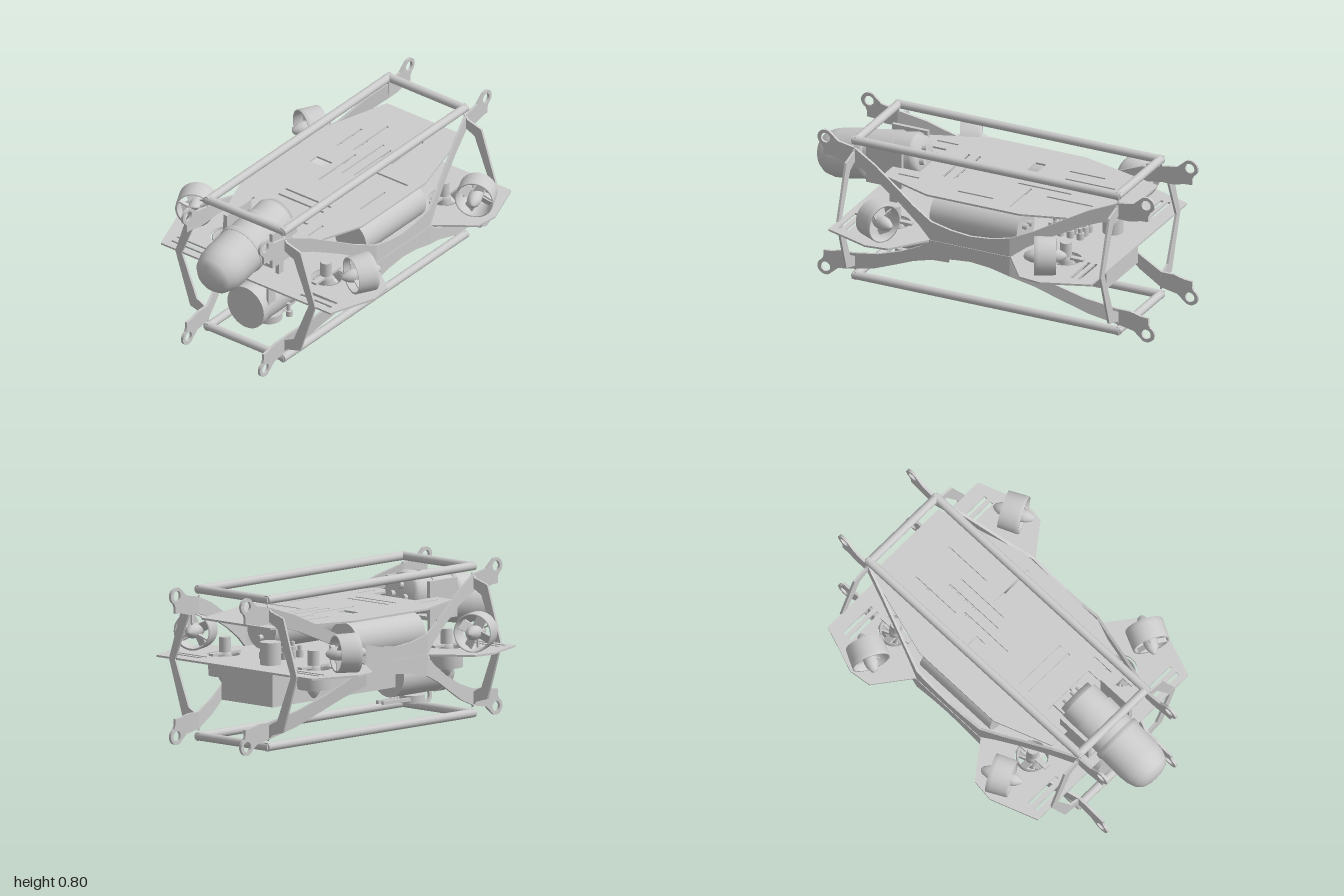
import * as THREE from 'three';

const mat = new THREE.MeshStandardMaterial({ color: 0xcccccc, side: THREE.DoubleSide });
const CX = 0.05, CY = 0.4; // middle of the frame
const signs = [-1, 1];
const V2 = (p) => new THREE.Vector2(p[0], p[1]);

function add(parent, name, geo, x = 0, y = 0, z = 0) {
  const m = new THREE.Mesh(geo, mat);
  m.name = name;
  m.position.set(x, y, z);
  parent.add(m);
  return m;
}
const box = (p, n, w, h, d, x, y, z) => add(p, n, new THREE.BoxGeometry(w, h, d), x, y, z);
const cyl = (p, n, r, h, x, y, z, seg = 20) => add(p, n, new THREE.CylinderGeometry(r, r, h, seg), x, y, z);
const lathe = (p, n, pts, seg = 28) => add(p, n, new THREE.LatheGeometry(pts.map(V2), seg));

// Extruded outline with optional holes
function slab(pts, depth, holes = []) {
  const s = new THREE.Shape(pts.map(V2));
  for (const h of holes) s.holes.push(h);
  return new THREE.ExtrudeGeometry(s, { depth, bevelEnabled: false, curveSegments: 20 });
}
const slot = (x, z, w, d) => new THREE.Path([[x - w / 2, z - d / 2], [x + w / 2, z - d / 2], [x + w / 2, z + d / 2], [x - w / 2, z + d / 2]].map(V2));
const round = (x, z, r) => new THREE.Path().absarc(x, z, r, 0, Math.PI * 2, true);

// Horizontal deck from a half outline mirrored in z
function deck(parent, name, half, y, holes) {
  const other = half.map(([x, z]) => [x, -z]).reverse();
  add(parent, name, slab([...half, ...other], 0.01, holes).rotateX(Math.PI / 2), 0, y, 0);
}

// Bent cross-shaped side plate, made of a flat waist, sloping arms and eyelet ends
function sidePlate(sz) {
  const g = new THREE.Group();
  g.name = 'sidePlate';
  const T = 0.014;
  const piece = (name, pts, holes) => {
    const geo = slab(pts, T, holes), p = geo.attributes.position;
    for (let i = 0; i < p.count; i++) {
      const k = THREE.MathUtils.clamp((Math.abs(p.getX(i)) - 0.22) / 0.52, 0, 1);
      p.setZ(i, p.getZ(i) - T / 2 + sz * (0.42 - 0.175 * k));
    }
    geo.computeVertexNormals();
    add(g, name, geo);
  };
  piece('waist', [[-0.22, -0.105], [-0.11, -0.08], [0, -0.07], [0.11, -0.08], [0.22, -0.105],
    [0.22, 0.105], [0.11, 0.08], [0, 0.07], [-0.11, 0.08], [-0.22, 0.105]]);
  const arm = [[0.22, 0], [0.3, 0.06], [0.42, 0.128], [0.58, 0.2], [0.74, 0.25],
    [0.74, 0.335], [0.6, 0.285], [0.46, 0.215], [0.34, 0.153], [0.22, 0.105]];
  const end = [[0.74, 0.25], [0.81, 0.25], [0.87, 0.265], [0.912, 0.268], [0.912, 0.3]];
  for (let i = 0; i <= 12; i++) {
    const a = -1.1 + i * 0.26;
    end.push([0.9 + 0.045 * Math.cos(a), 0.357 + 0.043 * Math.sin(a)]);
  }
  end.push([0.83, 0.352], [0.74, 0.335]);
  for (const su of signs) for (const sv of signs) {
    const flip = ([u, v]) => [u * su, v * sv];
    piece('arm', arm.map(flip));
    piece('eyelet', end.map(flip), [round(0.9 * su, 0.357 * sv, 0.026)]);
  }
  g.position.set(CX, CY, 0);
  return g;
}

// Ducted propeller with its axis along local y
function thruster(name, R, H) {
  const g = new THREE.Group();
  g.name = name;
  lathe(g, 'duct', [[R * 0.88, -H / 2], [R * 0.97, -H / 2], [R, H * 0.3], [R, H / 2], [R * 0.92, H / 2],
    [R * 0.86, H * 0.2], [R * 0.88, -H / 2]], 32);
  lathe(g, 'hub', [[0, -H], [0.014, -H * 0.93], [0.03, -H * 0.7], [0.036, -H * 0.45], [0.036, H * 0.45],
    [0.032, H * 0.65], [0.018, H * 0.92], [0, H]], 18);
  for (let i = 0; i < 4; i++) {
    const pivot = new THREE.Group();
    pivot.rotation.y = i * Math.PI / 2;
    const blade = box(pivot, 'blade', R * 0.58, 0.006, 0.055, R * 0.55, 0.01, 0);
    blade.rotation.x = 0.6;
    g.add(pivot);
  }
  for (let i = 0; i < 3; i++) {
    const pivot = new THREE.Group();
    pivot.rotation.y = 0.4 + i * Math.PI * 2 / 3;
    box(pivot, 'strut', R * 0.62, 0.025, 0.008, R * 0.6, -H * 0.4, 0);
    g.add(pivot);
  }
  return g;
}

export function createModel() {
  const model = new THREE.Group();
  const root = new THREE.Group();
  root.name = 'underwaterVehicle';
  model.add(root);

  // Tube frame
  for (const y of [0.025, 0.773]) {
    for (const s of signs) {
      cyl(root, 'longTube', 0.022, 1.5, CX, y, s * 0.24).rotation.z = Math.PI / 2;
      cyl(root, 'crossTube', 0.022, 0.5, CX + s * 0.735, y, 0).rotation.x = Math.PI / 2;
    }
  }
  for (const s of signs) root.add(sidePlate(s));

  // Bent upright struts at both ends
  for (const sx of signs) for (const sz of signs) {
    const strut = [[0.24, 0.345], [0.262, 0.315], [0.35, 0.29], [0.445, 0], [0.35, -0.29], [0.262, -0.315], [0.24, -0.345],
      [0.24, -0.27], [0.31, -0.235], [0.405, 0], [0.31, 0.235], [0.24, 0.27]].map(([z, y]) => [-z * sz, y]);
    add(root, 'endStrut', slab(strut, 0.012).translate(0, 0, -0.006).rotateY(Math.PI / 2), CX + sx * 0.738, CY, 0);
  }

  // Lower deck with wings, slots and openings for the lift thrusters
  const lowerHoles = [];
  for (const s of signs) {
    for (const x of [-0.43, 0.53]) lowerHoles.push(round(x, s * 0.32, 0.085));
    for (const x of [-0.645, -0.6, 0.66, 0.7]) lowerHoles.push(slot(x, s * 0.41, 0.018, 0.2));
  }
  deck(root, 'lowerDeck', [[-0.69, 0.54], [-0.44, 0.63], [-0.32, 0.615], [-0.18, 0.43], [0.28, 0.43],
    [0.42, 0.615], [0.54, 0.63], [0.785, 0.54]], 0.405, lowerHoles);

  // Upper deck, notched around the camera, with cable slots
  const upperHoles = [[-0.24, 0, 0.014, 0.29], [-0.18, 0, 0.014, 0.29], [0.13, -0.16, 0.06, 0.1], [0.22, 0.2, 0.012, 0.24],
    [0.14, -0.065, 0.3, 0.012], [0.28, -0.01, 0.34, 0.012], [0.28, 0.05, 0.3, 0.012], [0.46, -0.1, 0.28, 0.012],
    [0.4, -0.19, 0.2, 0.012], [0.46, 0.13, 0.26, 0.012], [0, 0.27, 0.2, 0.012], [-0.4, 0.22, 0.12, 0.012], [-0.4, -0.22, 0.12, 0.012]];
  deck(root, 'upperDeck', [[-0.37, 0.15], [-0.52, 0.15], [-0.52, 0.265], [-0.22, 0.375], [0.3, 0.375], [0.77, 0.24]],
    0.626, upperHoles.map((h) => slot(...h)));

  // Electronics: lower box and two sealed tubes between the decks
  box(root, 'batteryBox', 0.89, 0.19, 0.355, 0.245, 0.302, 0);
  for (const s of signs) {
    cyl(root, 'sealedTube', 0.1, 0.49, 0.045, 0.505, s * 0.285, 36).rotation.z = Math.PI / 2;
    for (const [dy, dz] of [[0.025, 0.025], [0.02, -0.03], [-0.04, 0]]) {
      cyl(root, 'cablePlug', 0.015, 0.03, 0.3, 0.505 + dy, s * 0.285 + dz, 12).rotation.z = Math.PI / 2;
    }
  }

  // Sensor can and connectors on the lower deck
  cyl(root, 'sensorCan', 0.053, 0.12, 0.6, 0.46, -0.075, 28);
  for (let i = 0; i < 4; i++) for (let j = 0; j < 3; j++) {
    const h = j === 1 ? 0.05 : 0.035;
    cyl(root, 'connector', 0.02, h, 0.33 + i * 0.055, 0.405 + h / 2, -0.02 + j * 0.05, 12);
    cyl(root, 'connectorTip', 0.012, 0.025, 0.33 + i * 0.055, 0.417 + h, -0.02 + j * 0.05, 10);
  }
  lathe(root, 'bottomSensor', [[0, -0.035], [0.03, -0.028], [0.04, -0.012], [0.06, -0.008], [0.06, 0.01]], 20).position.set(0.19, 0.2, 0);

  // Tilted camera housing with a blunt dome, held in a cradle
  const cam = new THREE.Group();
  cam.name = 'cameraHousing';
  lathe(cam, 'rearCap', [[0, -0.03], [0.095, -0.03], [0.095, 0], [0.112, 0], [0.112, 0.13]], 36);
  lathe(cam, 'body', [[0.112, 0.1], [0.122, 0.1], [0.122, 0.27]], 36);
  lathe(cam, 'collar', [[0.11, 0.26], [0.133, 0.26], [0.133, 0.29], [0.128, 0.29]], 36);
  lathe(cam, 'dome', [[0.128, 0.29], [0.128, 0.42], [0.122, 0.47], [0.105, 0.515], [0.08, 0.54], [0.04, 0.552], [0, 0.555]], 36);
  for (const [x, z] of [[0.03, 0], [-0.02, 0.05], [-0.03, -0.04]]) cyl(cam, 'rearPlug', 0.018, 0.03, x, -0.04, z, 12);
  cam.position.set(-0.45, 0.645, 0);
  cam.rotation.z = THREE.MathUtils.degToRad(101);
  root.add(cam);
  for (const s of signs) {
    box(root, 'cradleCheek', 0.2, 0.19, 0.02, -0.57, 0.615, s * 0.145);
    box(root, 'cradleLeg', 0.04, 0.12, 0.02, -0.54, 0.46, s * 0.1);
    box(root, 'cradleRail', 0.2, 0.02, 0.02, -0.37, 0.49, s * 0.06);
  }
  box(root, 'cradleBase', 0.2, 0.02, 0.31, -0.57, 0.52, 0);

  // Lower canister with hanging gripper and lamp
  cyl(root, 'canister', 0.11, 0.34, -0.5, 0.23, 0, 36).rotation.z = Math.PI / 2;
  cyl(root, 'canisterCap', 0.116, 0.04, -0.67, 0.23, 0, 36).rotation.z = Math.PI / 2;
  for (const s of signs) box(root, 'canisterBracket', 0.06, 0.14, 0.012, -0.61, 0.33, s * 0.1);
  cyl(root, 'gripperBase', 0.068, 0.04, -0.5, 0.098, 0, 24);
  for (const s of signs) box(root, 'gripperFinger', 0.24, 0.018, 0.016, -0.39, 0.1, s * 0.03).rotation.y = s * 0.1;
  cyl(root, 'lampStem', 0.01, 0.06, -0.5, 0.18, 0.125, 10);
  cyl(root, 'lamp', 0.018, 0.03, -0.5, 0.155, 0.13, 12);

  // Four angled drive thrusters and four lift thrusters
  for (const sx of signs) for (const sz of signs) {
    const drive = thruster('driveThruster', 0.1, 0.11);
    drive.position.set(CX + sx * 0.47, 0.503, sz * 0.525);
    const axis = new THREE.Vector3(-sx * Math.cos(0.45), 0, sz * Math.sin(0.45));
    drive.quaternion.setFromUnitVectors(new THREE.Vector3(0, 1, 0), axis);
    root.add(drive);

    const lift = thruster('liftThruster', 0.085, 0.1);
    lift.position.set(CX + sx * 0.48, 0.35, sz * 0.31);
    root.add(lift);
    cyl(root, 'liftMotor', 0.03, 0.08, CX + sx * 0.48, 0.455, sz * 0.31, 16);
    box(root, 'motorBridge', 0.2, 0.012, 0.03, CX + sx * 0.48, 0.412, sz * 0.31);
  }
  return model;
}
